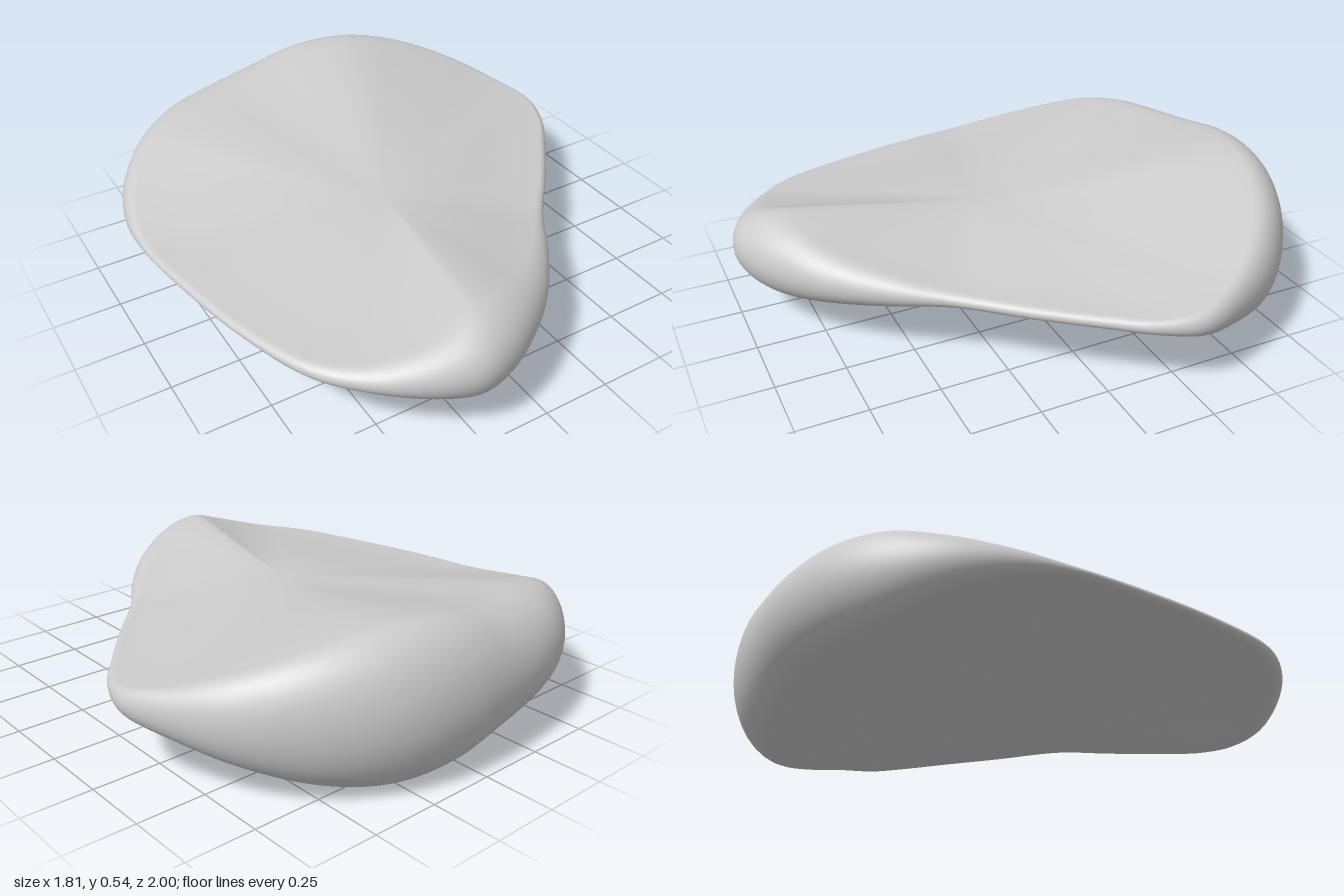
import * as THREE from 'three';
import { mergeVertices } from 'three/addons/utils/BufferGeometryUtils.js';

const MID = 0.274; // height of the mirror plane between upper and lower faces
const CENTRE = new THREE.Vector3(-0.08, 0.1, 0.12); // y is half the thickness here

// Rim stations, clockwise from the back: [x, z, crest inset, crest half-height]
const STATIONS = [
  [0.05, -1, 0.17, 0.255], [0.25, -0.98, 0.18, 0.27], [0.42, -0.92, 0.17, 0.26],
  [0.6, -0.8, 0.13, 0.215], [0.75, -0.64, 0.1, 0.155], [0.85, -0.45, 0.06, 0.09],
  [0.9, -0.27, 0.04, 0.05], [0.85, -0.12, 0.03, 0.03], [0.75, 0.02, 0.03, 0.025],
  [0.6, 0.21, 0.03, 0.025], [0.42, 0.42, 0.04, 0.03], [0.3, 0.6, 0.07, 0.06],
  [0.15, 0.78, 0.11, 0.1], [0, 0.9, 0.15, 0.14], [-0.13, 0.97, 0.17, 0.152],
  [-0.25, 0.995, 0.16, 0.14], [-0.4, 0.95, 0.12, 0.1], [-0.57, 0.84, 0.07, 0.05],
  [-0.7, 0.69, 0.04, 0.03], [-0.8, 0.42, 0.03, 0.02], [-0.87, 0.1, 0.03, 0.02],
  [-0.905, -0.15, 0.03, 0.02], [-0.9, -0.35, 0.05, 0.05], [-0.84, -0.55, 0.08, 0.1],
  [-0.72, -0.73, 0.12, 0.16], [-0.55, -0.87, 0.16, 0.19], [-0.35, -0.95, 0.18, 0.203],
  [-0.15, -0.985, 0.18, 0.225],
];

// Outline curve, and the crest curve set inward along the outline's normal
function rimCurves() {
  const n = STATIONS.length;
  const outline = STATIONS.map(([x, z]) => new THREE.Vector3(x, 0, z));
  const crest = STATIONS.map(([x, z, inset, h], i) => {
    const t = outline[(i + 1) % n].clone().sub(outline[(i + n - 1) % n]).normalize();
    return new THREE.Vector3(x - t.z * inset, h, z + t.x * inset);
  });
  return [outline, crest].map((p) => new THREE.CatmullRomCurve3(p, true));
}

// Half section: dished face from the centre to the crest, then a rounded edge
function halfSection(edge, crest, faceSteps, edgeSteps) {
  const points = [];
  for (let j = 0; j <= faceSteps; j++) {
    const t = j / faceSteps;
    const p = CENTRE.clone().lerp(crest, t);
    p.y = THREE.MathUtils.lerp(CENTRE.y, crest.y, t * t * (2.4 - 1.4 * t));
    points.push(p);
  }
  for (let j = 1; j <= edgeSteps; j++) {
    const a = (j / edgeSteps) * Math.PI / 2;
    const p = crest.clone().lerp(edge, Math.sin(a));
    p.y = j === edgeSteps ? 0 : crest.y * Math.cos(a);
    points.push(p);
  }
  return points;
}

function bodyGeometry(columns = 168, faceSteps = 24, edgeSteps = 10) {
  const [outline, crest] = rimCurves();
  const positions = [];
  const indices = [];
  const half = faceSteps + edgeSteps;
  const rows = 2 * half + 1;

  for (let i = 0; i < columns; i++) {
    const u = i / columns;
    const section = halfSection(outline.getPoint(u), crest.getPoint(u), faceSteps, edgeSteps);
    for (let j = 0; j < rows; j++) {
      const p = section[j <= half ? j : 2 * half - j];
      positions.push(p.x, MID + (j <= half ? p.y : -p.y), p.z);
    }
  }
  for (let i = 0; i < columns; i++) {
    const next = (i + 1) % columns;
    for (let j = 0; j < rows - 1; j++) {
      const a = i * rows + j;
      const b = next * rows + j;
      if (j > 0) indices.push(a, b, a + 1);
      if (j < rows - 2) indices.push(b, b + 1, a + 1);
    }
  }

  const geometry = new THREE.BufferGeometry();
  geometry.setAttribute('position', new THREE.Float32BufferAttribute(positions, 3));
  geometry.setIndex(indices);
  const welded = mergeVertices(geometry, 1e-5); // joins the two centre points
  welded.computeVertexNormals();
  return welded;
}

export function createModel() {
  const group = new THREE.Group();
  group.name = 'dishedPebble';
  const body = new THREE.Mesh(bodyGeometry(), new THREE.MeshStandardMaterial({ color: 0xcccccc }));
  body.name = 'pebbleBody';
  group.add(body);
  return group;
}
